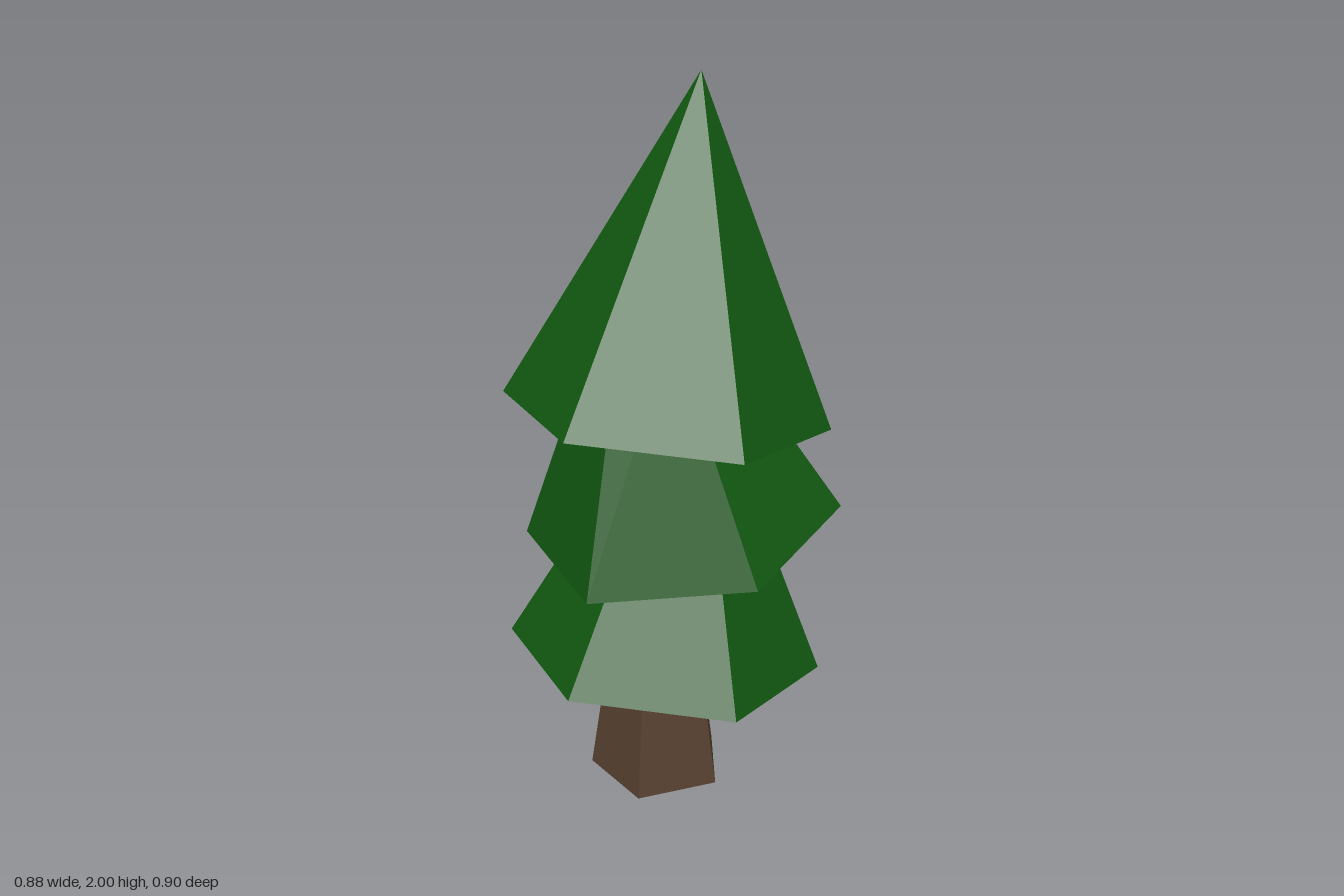
import * as THREE from 'three';

const foliageGreen = new THREE.MeshStandardMaterial({ name: 'foliageGreen', color: 0x115811, flatShading: true });
const barkBrown = new THREE.MeshStandardMaterial({ name: 'barkBrown', color: 0x564030, flatShading: true });

const RADIUS = 0.447;
const HEIGHT = 0.895;
const TURN = THREE.MathUtils.degToRad(18.2);

// Six-sided tier standing on its base centre; topScale > 0 cuts the hidden tip off
function makeTier(name, y, z, tilt, topScale = 0) {
  const height = HEIGHT * (1 - topScale);
  const geometry = new THREE.CylinderGeometry(RADIUS * topScale, RADIUS, height, 6, 1, false, TURN);
  geometry.translate(0, height / 2, 0);
  const tier = new THREE.Mesh(geometry, foliageGreen);
  tier.name = name;
  tier.position.set(0, y, z);
  tier.rotation.x = tilt;
  return tier;
}

export function createModel() {
  const tree = new THREE.Group();
  tree.name = 'pineTree';

  // Tapered five-sided trunk
  const trunk = new THREE.Mesh(
    new THREE.CylinderGeometry(0.133, 0.2, 0.45, 5, 1, false, Math.PI / 5),
    barkBrown
  );
  trunk.name = 'trunk';
  trunk.position.set(0, 0.225, 0.052);
  tree.add(trunk);

  // Foliage tiers leaning alternately backward and forward
  tree.add(
    makeTier('lowerFoliage', 0.378, 0.033, -0.125),
    makeTier('middleFoliage', 0.773, -0.03, 0.173, 0.3),
    makeTier('upperFoliage', 1.112, 0.023, -0.125)
  );
  return tree;
}
